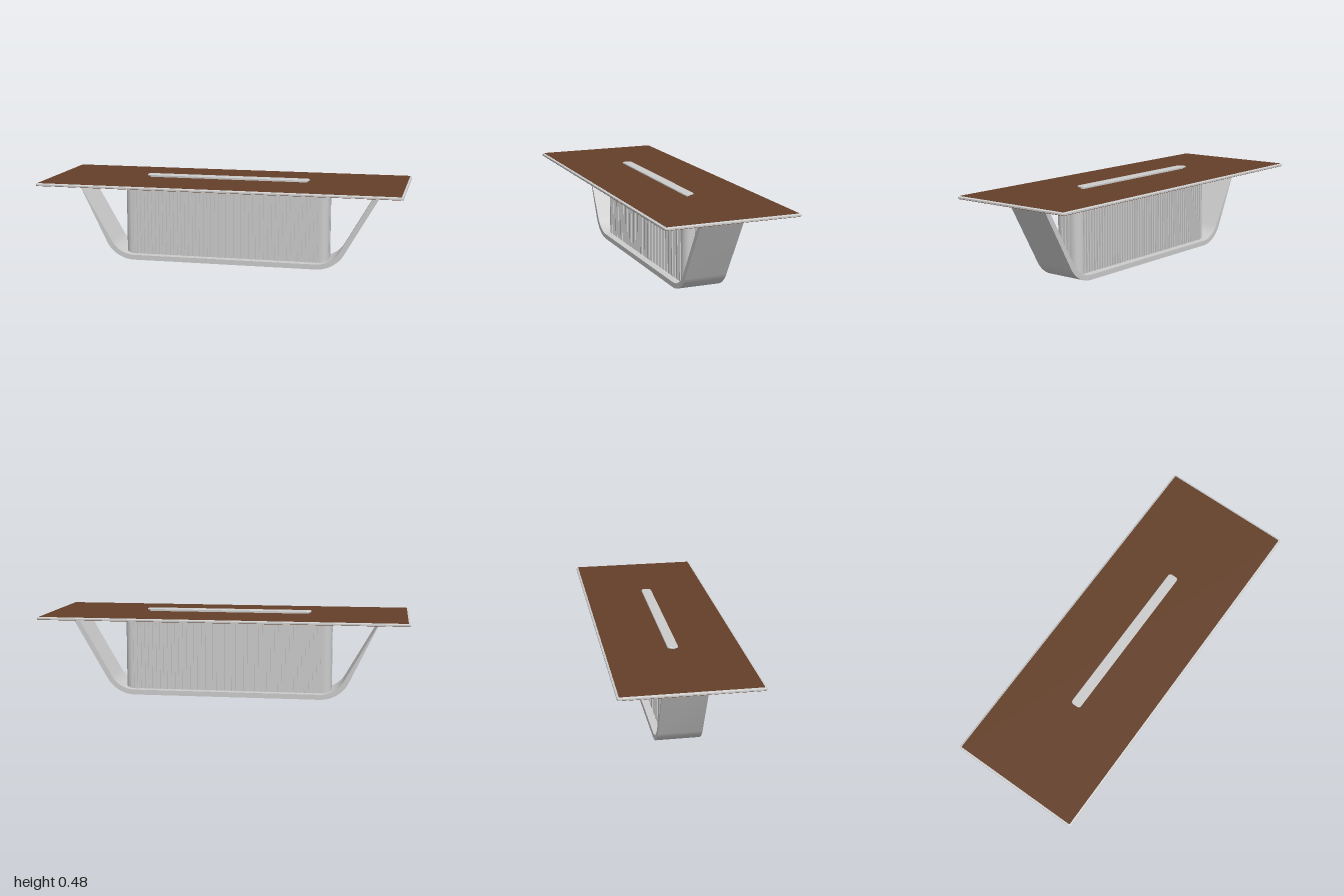
import * as THREE from 'three';
import { toCreasedNormals } from 'three/addons/utils/BufferGeometryUtils.js';

const metal = new THREE.MeshStandardMaterial({ color: 0xcccccc });
metal.name = 'satin grey';
const wood = new THREE.MeshStandardMaterial({ color: 0x643f29 });
wood.name = 'brown wood';

function addMesh(group, name, geometry, material) {
  const mesh = new THREE.Mesh(toCreasedNormals(geometry, 0.5), material);
  mesh.name = name;
  group.add(mesh);
}

// Rounded rectangle outline, with optional square grooves on each straight side
function outline(hx, hz, r, groovesX = 0, groovesZ = 0, depth = 0) {
  const shape = new THREE.Shape();
  const x = hx - r, z = hz - r;
  const side = (ax, ay, bx, by, n) => {
    const len = Math.hypot(bx - ax, by - ay);
    const tx = (bx - ax) / len, ty = (by - ay) / len;
    const put = (s, d) => shape.lineTo(ax + tx * s - ty * d, ay + ty * s + tx * d);
    const pitch = len / n;
    for (let i = 0; i < n; i++) {
      put((i + 0.25) * pitch, 0);
      put((i + 0.25) * pitch, depth);
      put((i + 0.75) * pitch, depth);
      put((i + 0.75) * pitch, 0);
    }
    shape.lineTo(bx, by);
  };
  shape.moveTo(-x, -hz);
  side(-x, -hz, x, -hz, groovesX);
  shape.absarc(x, -z, r, -Math.PI / 2, 0, false);
  side(hx, -z, hx, z, groovesZ);
  shape.absarc(x, z, r, 0, Math.PI / 2, false);
  side(x, hz, -x, hz, groovesX);
  shape.absarc(-x, z, r, Math.PI / 2, Math.PI, false);
  side(-hx, z, -hx, -z, groovesZ);
  shape.absarc(-x, -z, r, Math.PI, Math.PI * 1.5, false);
  return shape;
}

// Upright slab from y0 to y1; its top edge is drawn in by inset
function slab(shape, y0, y1, inset = 0) {
  const geo = new THREE.ExtrudeGeometry(shape, { depth: y1 - y0, bevelEnabled: false, curveSegments: 6 });
  geo.rotateX(-Math.PI / 2).translate(0, y0, 0);
  const p = geo.attributes.position;
  for (let i = 0; i < p.count; i++) {
    if (inset && p.getY(i) > (y0 + y1) / 2) {
      p.setX(i, p.getX(i) - Math.sign(p.getX(i)) * inset);
      p.setZ(i, p.getZ(i) - Math.sign(p.getZ(i)) * inset);
    }
  }
  return geo;
}

// Bent flat band: level foot, rounded bends, arms leaning out at 60 degrees
function baseBand() {
  const cx = 0.519, cy = 0.18, R = 0.18, r = 0.152, top = 0.447;
  const down = -Math.PI / 2, bend = Math.PI / 3;
  const armX = (rad) => {
    const y = cy - rad * 0.5;
    return cx + rad * Math.cos(Math.PI / 6) + (top - y) / Math.tan(bend);
  };
  const s = new THREE.Shape();
  s.moveTo(-armX(R), top);
  s.absarc(-cx, cy, R, down - bend, down, false);
  s.absarc(cx, cy, R, down, down + bend, false);
  s.lineTo(armX(R), top);
  s.lineTo(armX(r), top);
  s.absarc(cx, cy, r, down + bend, down, true);
  s.absarc(-cx, cy, r, down, down - bend, true);
  s.lineTo(-armX(r), top);
  const geo = new THREE.ExtrudeGeometry(s, { depth: 0.234, bevelEnabled: false, curveSegments: 12 });
  return geo.translate(0, 0, -0.117);
}

export function createModel() {
  const model = new THREE.Group();
  model.name = 'table';

  // Base
  addMesh(model, 'baseBand', baseBand(), metal);
  addMesh(model, 'flutedCore', slab(outline(0.58, 0.077, 0.042, 50, 3, 0.008), 0.027, 0.448), metal);

  // Table top: wood underside, grey bevelled rim, wood surface
  addMesh(model, 'topUnderside', slab(outline(0.999, 0.362, 0.012), 0.447, 0.449), wood);
  addMesh(model, 'topRim', slab(outline(1, 0.363, 0.012), 0.449, 0.457), metal);
  addMesh(model, 'topRimBevel', slab(outline(1, 0.363, 0.012), 0.457, 0.462, 0.01), metal);
  addMesh(model, 'topSurface', slab(outline(0.99, 0.353, 0.006), 0.4615, 0.463), wood);

  // Raised centre rail on a narrow stem
  addMesh(model, 'railStem', slab(outline(0.45, 0.011, 0.005), 0.463, 0.473), metal);
  addMesh(model, 'railCap', slab(outline(0.462, 0.0285, 0.016), 0.472, 0.476), metal);
  addMesh(model, 'railCapBevel', slab(outline(0.462, 0.0285, 0.016), 0.476, 0.479, 0.002), metal);

  return model;
}
